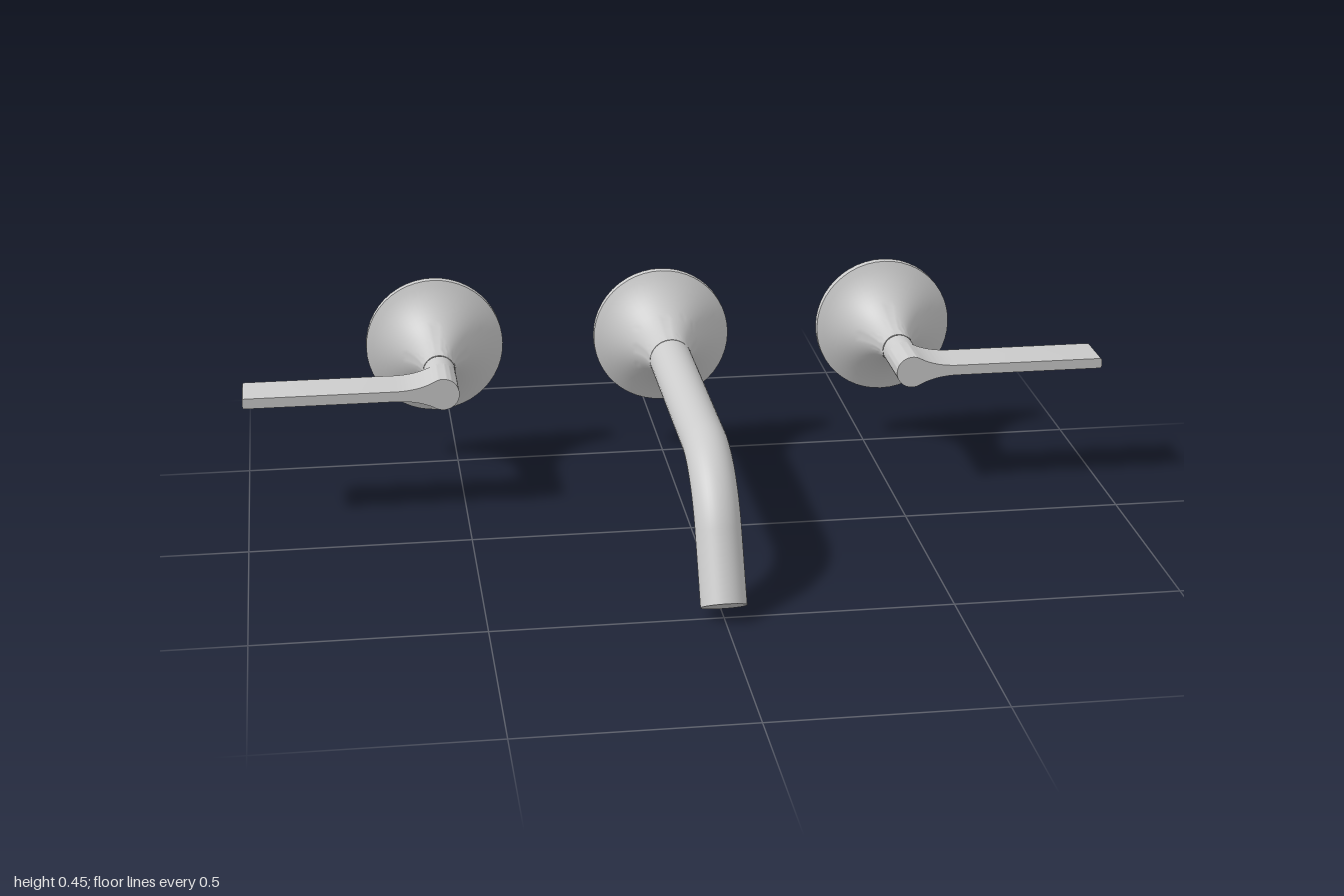
import * as THREE from 'three';
import { toCreasedNormals } from 'three/addons/utils/BufferGeometryUtils.js';

const AXIS_Y = 0.291, BACK = -0.54, RIM = 0.163;
const metal = new THREE.MeshStandardMaterial({ color: 0xcccccc });

function part(name, geometry, parent) {
  const mesh = new THREE.Mesh(geometry, metal);
  mesh.name = name;
  parent.add(mesh);
  return mesh;
}

// Wall flange: flat rim, then a circular flare narrowing to a grooved neck
function flange(neckR) {
  const rimZ = BACK + 0.02, neckZ = -0.338;
  const dz = neckZ - rimZ, dr = RIM - neckR;
  const R = (dz * dz + dr * dr) / (2 * dr);
  const sweep = Math.asin(dz / R);
  const pts = [[0, BACK], [RIM, BACK]];
  for (let i = 0; i <= 14; i++) {
    const a = sweep * (1 - i / 14);
    pts.push([neckR + R * (1 - Math.cos(a)), neckZ - R * Math.sin(a)]);
  }
  pts.push([neckR - 0.004, neckZ], [neckR - 0.004, neckZ + 0.01]);
  const lathe = new THREE.LatheGeometry(pts.map(p => new THREE.Vector2(...p)), 48);
  return toCreasedNormals(lathe.rotateX(Math.PI / 2), 0.5);
}

// Spout: straight run, 60 degree bend, short drop
function buildSpout() {
  const spout = new THREE.Group();
  spout.name = 'spout';
  part('spoutFlange', flange(0.05), spout);

  const r = 0.05, bendR = 0.25, bendZ = 0.2, angle = Math.PI / 3, drop = 0.161;
  const straight = new THREE.CylinderGeometry(r, r, bendZ + 0.335, 40);
  straight.rotateX(Math.PI / 2).translate(0, 0, (bendZ - 0.335) / 2);
  part('spoutPipe', straight, spout);

  const bend = new THREE.TorusGeometry(bendR, r, 40, 20, angle);
  bend.rotateZ(Math.PI / 2 - angle).rotateY(-Math.PI / 2).translate(0, -bendR, bendZ);
  part('spoutBend', bend, spout);

  const tip = part('spoutTip', new THREE.CylinderGeometry(r, r, drop, 40), spout);
  tip.rotation.x = -(Math.PI / 2 - angle);
  tip.position.set(0,
    -bendR * (1 - Math.cos(angle)) - Math.sin(angle) * drop / 2,
    bendZ + bendR * Math.sin(angle) + Math.cos(angle) * drop / 2);
  return spout;
}

// Lever handle pointing along +x, with its hub on the local z axis
function buildHandle(name) {
  const handle = new THREE.Group();
  handle.name = name;
  part('handleFlange', flange(0.037), handle);

  const r = 0.037, t = 0.012, end = 0.454, front = -0.172, depth = 0.111;
  const stem = new THREE.CylinderGeometry(r, r, 0.06, 40);
  part('handleStem', stem.rotateX(Math.PI / 2).translate(0, 0, -0.303), handle);

  // Round hub blending into a thin blade with softened tip corners
  const a = Math.PI / 3, c = 0.006;
  const shape = new THREE.Shape();
  shape.absarc(0, 0, r, a, 2 * Math.PI - a, false);
  shape.quadraticCurveTo(0.055, -t, 0.11, -t);
  shape.lineTo(end - c, -t);
  shape.quadraticCurveTo(end, -t, end, -t + c);
  shape.lineTo(end, t - c);
  shape.quadraticCurveTo(end, t, end - c, t);
  shape.lineTo(0.11, t);
  shape.quadraticCurveTo(0.055, t, r * Math.cos(a), r * Math.sin(a));
  const lever = new THREE.ExtrudeGeometry(shape, { depth, bevelEnabled: false, curveSegments: 20 });
  part('lever', toCreasedNormals(lever.translate(0, 0, front - depth), 0.5), handle);
  return handle;
}

export function createModel() {
  const model = new THREE.Group();
  model.name = 'wallFaucet';
  const spout = buildSpout();
  spout.position.y = AXIS_Y;
  model.add(spout);
  for (const side of [1, -1]) {
    const handle = buildHandle(side > 0 ? 'leftHandle' : 'rightHandle');
    handle.position.set(side * 0.546, AXIS_Y, 0);
    if (side < 0) handle.rotation.z = Math.PI;
    model.add(handle);
  }
  return model;
}
